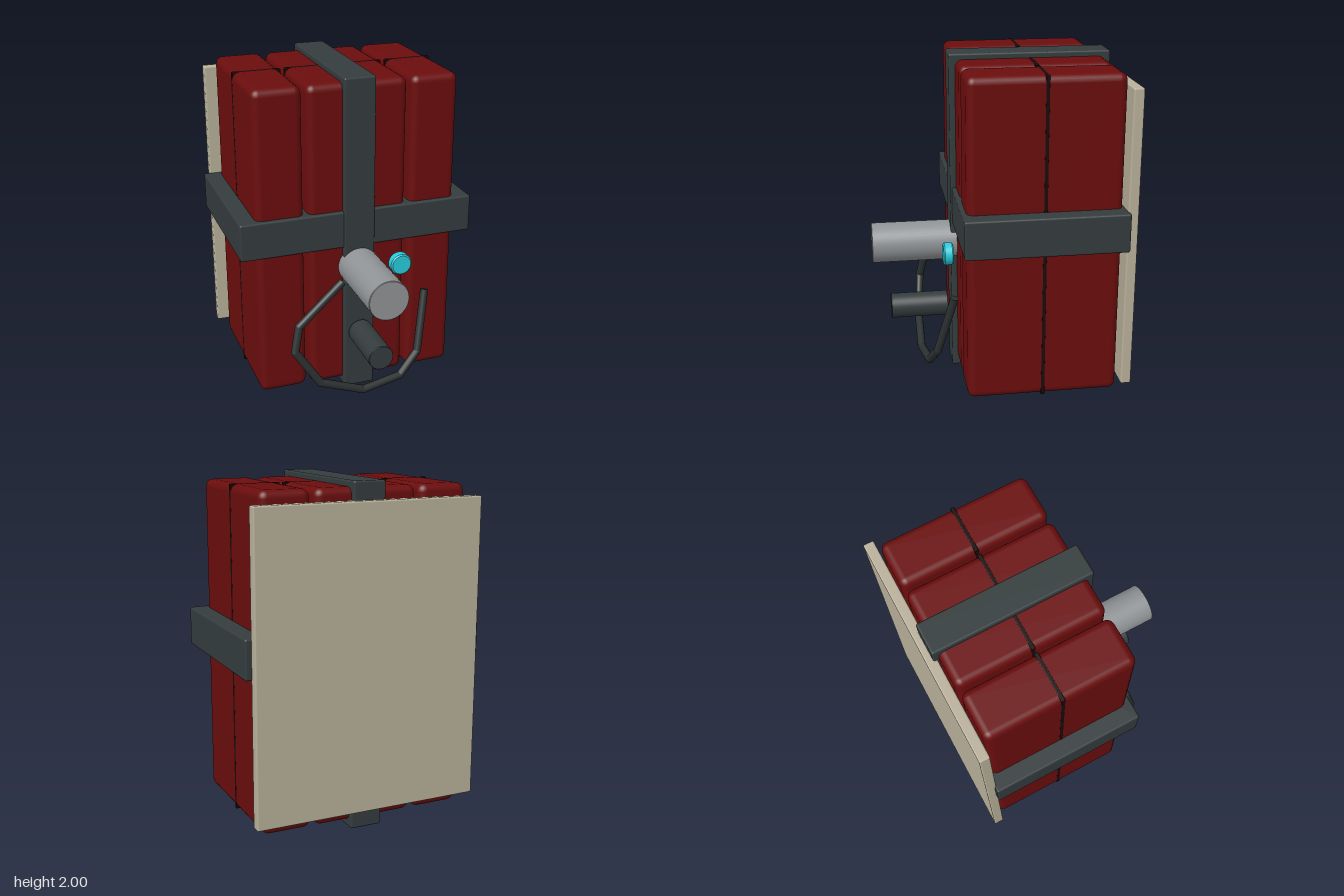
import * as THREE from 'three';
import { RoundedBoxGeometry } from 'three/addons/geometries/RoundedBoxGeometry.js';

const material = (name, color) => {
  const m = new THREE.MeshStandardMaterial({ color });
  m.name = name;
  return m;
};

export function createModel() {
  const group = new THREE.Group();
  const red = material('dark red', 0x6b0d0d);
  const seamDark = material('seam black', 0x1a0909);
  const strapGrey = material('strap slate', 0x343c3d);
  const cableGrey = material('cable charcoal', 0x2b3030);
  const beige = material('plate beige', 0xb8b09a);
  const metal = material('metal grey', 0x909396);
  const cyan = material('indicator cyan', 0x28cbdb);

  const add = (name, geometry, mat, x, y, z, parent = group) => {
    const mesh = new THREE.Mesh(geometry, mat);
    mesh.name = name;
    mesh.position.set(x, y, z);
    parent.add(mesh);
    return mesh;
  };
  // Rounded box given by its minimum and maximum corners
  const box = (name, a, b, r, mat) => add(name,
    new RoundedBoxGeometry(b[0] - a[0], b[1] - a[1], b[2] - a[2], 3, r), mat,
    (a[0] + b[0]) / 2, (a[1] + b[1]) / 2, (a[2] + b[2]) / 2);

  // Four upright blocks, each with a thin seam running round it
  for (const [i, x] of [-0.48, -0.16, 0.16, 0.48].entries()) {
    box(`block${i + 1}`, [x - 0.147, 0.04, -0.67], [x + 0.147, 1.965, 0.224], 0.045, red);
    box(`blockSeam${i + 1}`, [x - 0.148, 0.039, -0.233], [x + 0.148, 1.966, -0.21], 0.004, seamDark);
  }

  // Crossing straps and the back plate
  box('verticalStrap', [-0.097, 0, -0.702], [0.097, 2, 0.26], 0.012, strapGrey);
  box('horizontalStrap', [-0.73, 0.96, -0.692], [0.73, 1.19, 0.25], 0.012, strapGrey);
  box('backPlate', [-0.693, 0.11, -0.742], [0.693, 1.895, -0.68], 0.01, beige);

  // Round parts pointing forward, with slightly softened rims
  const peg = (name, x, y, z0, z1, r, bevel, mat) => {
    const h = z1 - z0;
    const profile = [[0, 0], [r - bevel, 0], [r - bevel, 0], [r, bevel], [r, bevel],
      [r, h - bevel], [r, h - bevel], [r - bevel, h], [r - bevel, h], [0, h]]
      .map(([px, py]) => new THREE.Vector2(px, py));
    add(name, new THREE.LatheGeometry(profile, 40), mat, x, y, z0).rotation.x = Math.PI / 2;
  };
  peg('mainBarrel', 0, 0.825, 0.2, 0.742, 0.123, 0.003, metal);
  peg('lowerKnob', 0, 0.395, 0.28, 0.635, 0.077, 0.003, strapGrey);
  peg('indicatorLight', 0.25, 0.825, 0.265, 0.325, 0.067, 0.008, cyan);

  // Bent cable: straight lengths joined by round elbows
  const cable = new THREE.Group();
  cable.name = 'cable';
  group.add(cable);
  const path = [
    [-0.14, 0.785, 0.345], [-0.43, 0.555, 0.39], [-0.465, 0.405, 0.418], [-0.315, 0.18, 0.442],
    [-0.04, 0.078, 0.447], [0.215, 0.11, 0.415], [0.345, 0.235, 0.375], [0.427, 0.61, 0.277],
  ].map(p => new THREE.Vector3(...p));
  const radius = 0.025;
  for (let i = 0; i < path.length - 1; i++) {
    const dir = path[i + 1].clone().sub(path[i]);
    const mid = path[i].clone().add(path[i + 1]).multiplyScalar(0.5);
    const length = add('cableLength', new THREE.CylinderGeometry(radius, radius, dir.length(), 12),
      cableGrey, mid.x, mid.y, mid.z, cable);
    length.quaternion.setFromUnitVectors(new THREE.Vector3(0, 1, 0), dir.normalize());
    if (i > 0) {
      add('cableElbow', new THREE.SphereGeometry(radius, 12, 8), cableGrey,
        path[i].x, path[i].y, path[i].z, cable);
    }
  }
  return group;
}
